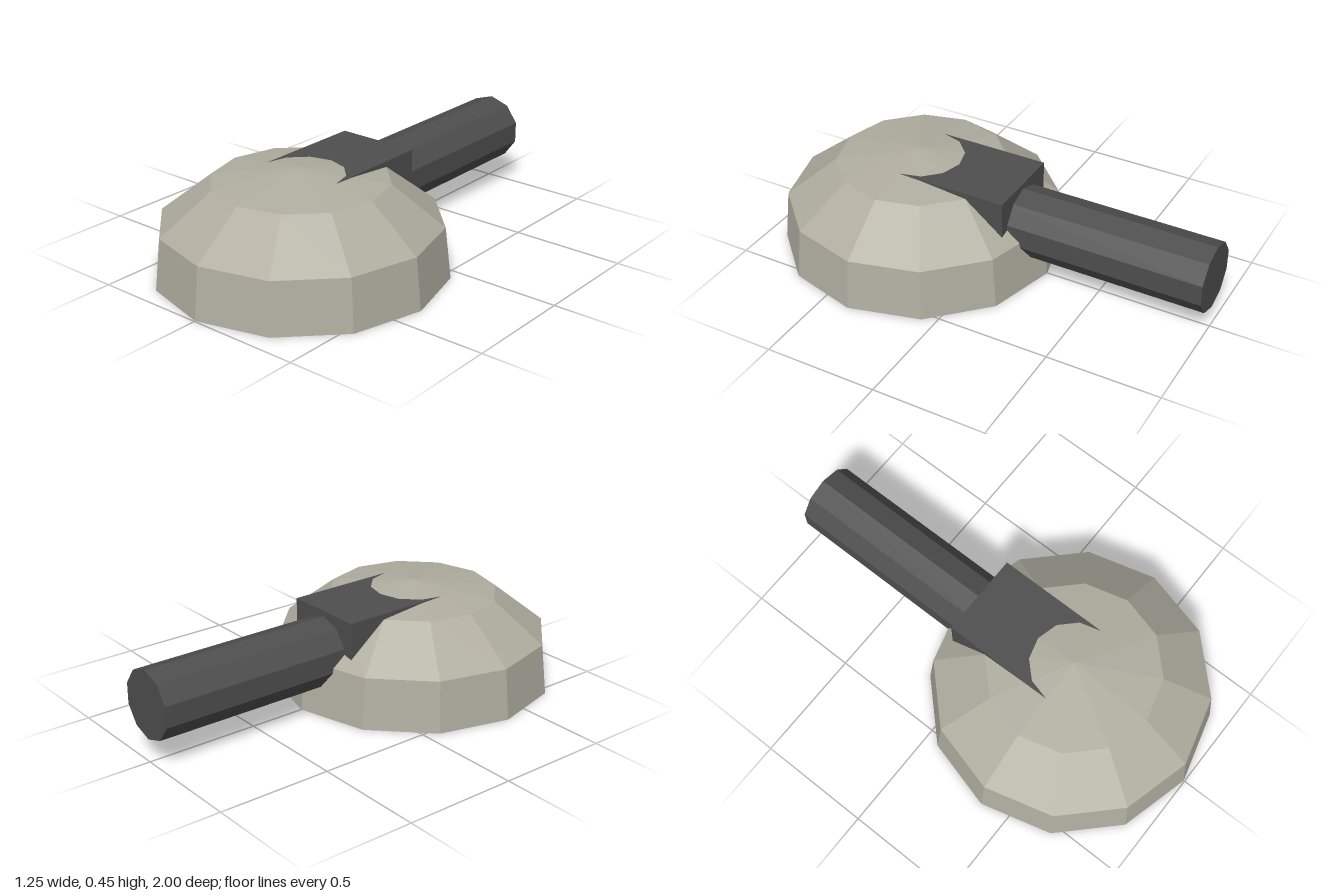
import * as THREE from 'three';

export function createModel() {
  const group = new THREE.Group();
  const stone = new THREE.MeshStandardMaterial({ color: 0xb0ada0, flatShading: true });
  stone.name = 'warm grey';
  const dark = new THREE.MeshStandardMaterial({ color: 0x4e4e4e, flatShading: true });
  dark.name = 'dark grey';

  const add = (name, geometry, material, x, y, z) => {
    const mesh = new THREE.Mesh(geometry, material);
    mesh.name = name;
    mesh.position.set(x, y, z);
    group.add(mesh);
  };

  // Faceted dome head, a 12-sided shell
  const profile = [[0.6225, 0], [0.5975, 0.225], [0.375, 0.4], [0, 0.45]]
    .map(([r, y]) => new THREE.Vector2(r, y));
  add('dome', new THREE.LatheGeometry(profile, 12), stone, 0, 0, 0.3735);

  // Flat underside
  add('sole', new THREE.CircleGeometry(0.6225, 12).rotateX(Math.PI / 2), dark, 0, 0, 0.3735);

  // Block joining the handle to the dome
  add('mount', new THREE.BoxGeometry(0.375, 0.25, 0.5), dark, 0, 0.3, 0.1235);

  // Ten-sided handle, a corner edge on top
  add('handle', new THREE.CylinderGeometry(0.15, 0.15, 1, 10).rotateX(-Math.PI / 2), dark, 0, 0.25, -0.5);

  return group;
}
